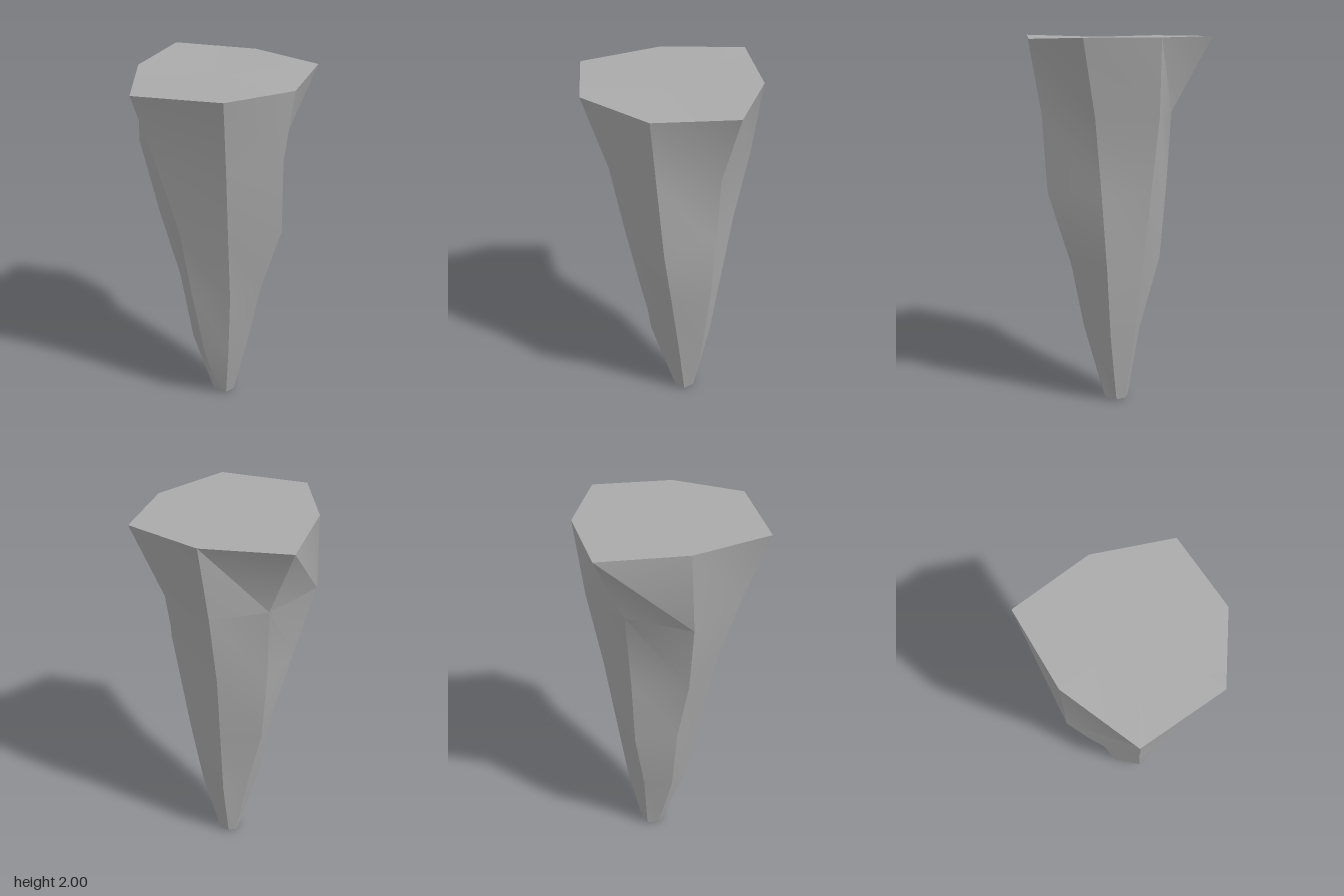
import * as THREE from 'three';
import { toCreasedNormals } from 'three/addons/utils/BufferGeometryUtils.js';

// Each ridge runs from tip to broad top as x, z pairs, one pair per ring
const RIDGES = [
  [-0.06, -0.125, -0.12, -0.163, -0.197, -0.24, -0.22, -0.262, -0.22, -0.287, -0.33, -0.465],
  [-0.015, -0.14, 0.01, -0.215, 0.02, -0.27, 0.03, -0.325, 0.06, -0.39, 0.105, -0.425],
  [0.035, -0.115, 0.127, -0.14, 0.19, -0.16, 0.245, -0.165, 0.3, -0.165, 0.45, -0.205],
  [0.05, -0.055, 0.135, 0.0, 0.21, 0.06, 0.32, 0.127, 0.318, 0.16, 0.365, 0.2],
  [0.01, -0.012, 0.04, 0.105, 0.06, 0.19, 0.06, 0.27, 0.06, 0.342, 0.065, 0.465],
  [-0.047, -0.018, -0.1, 0.11, -0.155, 0.16, -0.2, 0.22, -0.29, 0.295, -0.38, 0.39],
  [-0.078, -0.06, -0.185, -0.02, -0.25, -0.02, -0.35, 0.0, -0.45, -0.025, -0.44, -0.04],
];
const RING_Y = [0.01, 0.4, 0.8, 1.2, 1.6, 1.99];
const TOP_Y = [1.995, 1.99, 1.99, 1.982, 2.0, 1.985, 1.997];

function shardGeometry() {
  const sides = RIDGES.length, last = RING_Y.length - 1;
  const points = [], index = [];
  RING_Y.forEach((y, r) => RIDGES.forEach((ridge, i) => {
    points.push(ridge[r * 2], r === last ? TOP_Y[i] : y, ridge[r * 2 + 1]);
  }));
  const tip = points.length / 3;
  points.push(-0.015, 0, -0.075); // tip centre
  points.push(0, 1.99, 0); // top centre

  for (let i = 0; i < sides; i++) {
    const n = (i + 1) % sides;
    // faceted flanks
    for (let r = 0; r < last; r++) {
      const a = r * sides + i, b = r * sides + n;
      const d = a + sides, c = b + sides;
      index.push(a, d, c, a, c, b);
    }
    // end caps
    index.push(tip, i, n);
    index.push(tip + 1, last * sides + n, last * sides + i);
  }

  const geometry = new THREE.BufferGeometry();
  geometry.setAttribute('position', new THREE.Float32BufferAttribute(points, 3));
  geometry.setIndex(index);
  return toCreasedNormals(geometry, 0.55);
}

export function createModel() {
  const model = new THREE.Group();
  model.name = 'stalactite';
  const stone = new THREE.MeshStandardMaterial({ color: 0xaaaaaa });
  stone.name = 'grey stone';
  const shard = new THREE.Mesh(shardGeometry(), stone);
  shard.name = 'rockShard';
  model.add(shard);
  return model;
}
